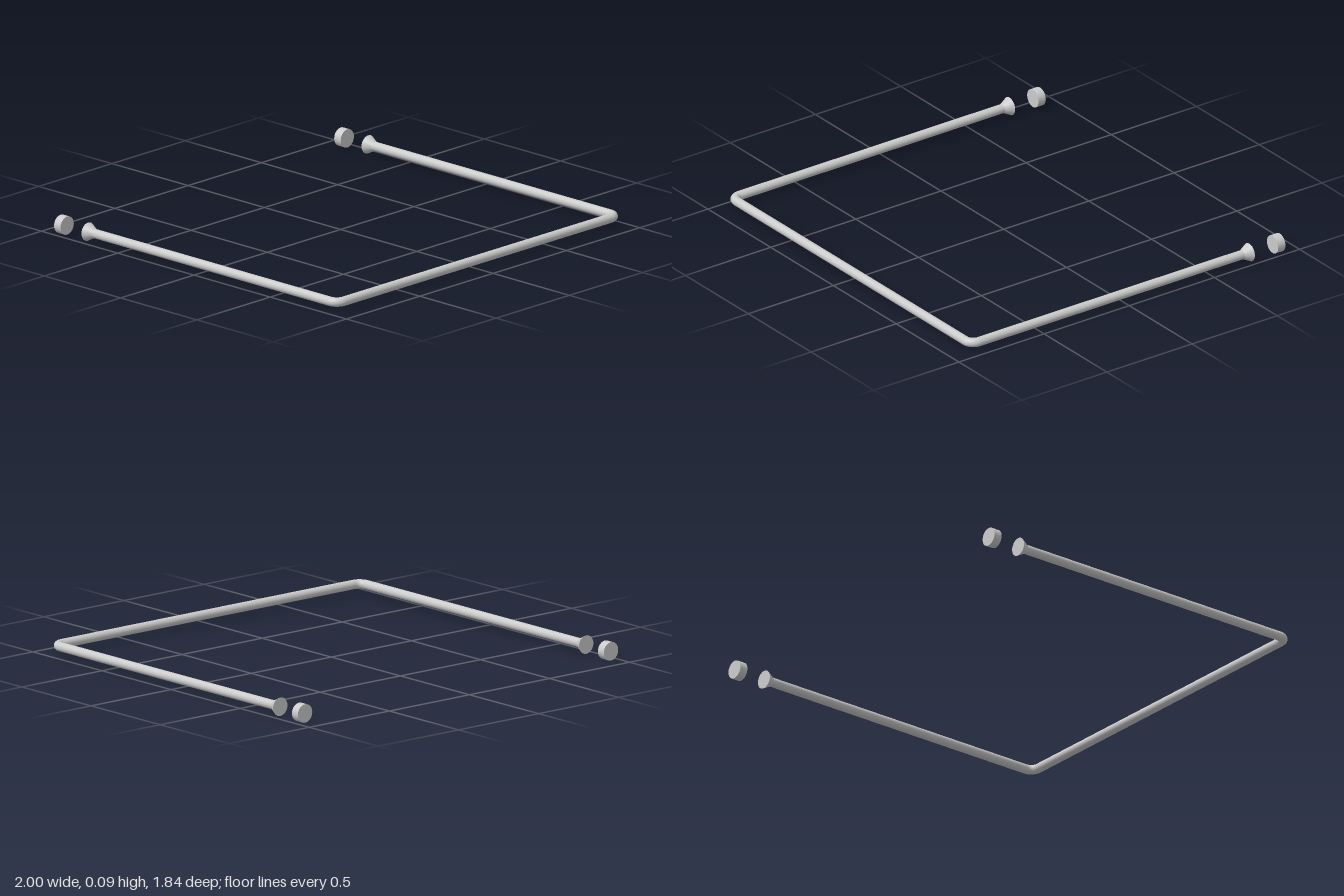
import * as THREE from 'three';

const TUBE = 0.0225;      // tube radius
const DISC = 0.045;       // flare and wall disc radius
const Y = 0.045;          // height of the tube axis
const SIDE = 0.955;       // x of the side arms
const FRONT = 0.895;      // z of the front rail axis
const BEND = 0.045;       // bend radius of the corners
const FLARE_START = -0.695;
const FLARE_END = -0.738;
const SEGMENTS = 32;

const material = new THREE.MeshStandardMaterial({ color: 0xcccccc });

function addMesh(parent, name, geometry, x, z) {
  const mesh = new THREE.Mesh(geometry, material);
  mesh.name = name;
  mesh.position.set(x, Y, z);
  parent.add(mesh);
}

// Round bar along z, from back to front
function barZ(backRadius, frontRadius, length, open) {
  return new THREE.CylinderGeometry(frontRadius, backRadius, length, SEGMENTS, 1, open).rotateX(Math.PI / 2);
}

export function createModel() {
  const model = new THREE.Group();
  model.name = 'wallRail';

  // Front rail
  const railLength = 2 * (SIDE - BEND);
  const rail = new THREE.CylinderGeometry(TUBE, TUBE, railLength, SEGMENTS, 1, true).rotateZ(Math.PI / 2);
  addMesh(model, 'frontRail', rail, 0, FRONT);

  for (const [label, s] of [['left', 1], ['right', -1]]) {
    const side = new THREE.Group();
    side.name = label + 'Side';
    model.add(side);

    // Rounded corner, a quarter of a torus
    const corner = new THREE.TorusGeometry(BEND, TUBE, SEGMENTS, 12, Math.PI / 2);
    if (s < 0) corner.rotateZ(Math.PI / 2);
    corner.rotateX(Math.PI / 2);
    addMesh(side, 'corner', corner, s * (SIDE - BEND), FRONT - BEND);

    // Straight arm
    const armFront = FRONT - BEND;
    addMesh(side, 'arm', barZ(TUBE, TUBE, armFront - FLARE_START, true),
      s * SIDE, (armFront + FLARE_START) / 2);

    // Flared end
    addMesh(side, 'flare', barZ(DISC, TUBE, FLARE_START - FLARE_END, false),
      s * SIDE, (FLARE_START + FLARE_END) / 2);

    // Separate wall disc behind the flare
    addMesh(side, 'wallDisc', barZ(DISC, DISC, 0.043, false), s * SIDE, -0.896);
  }
  return model;
}
